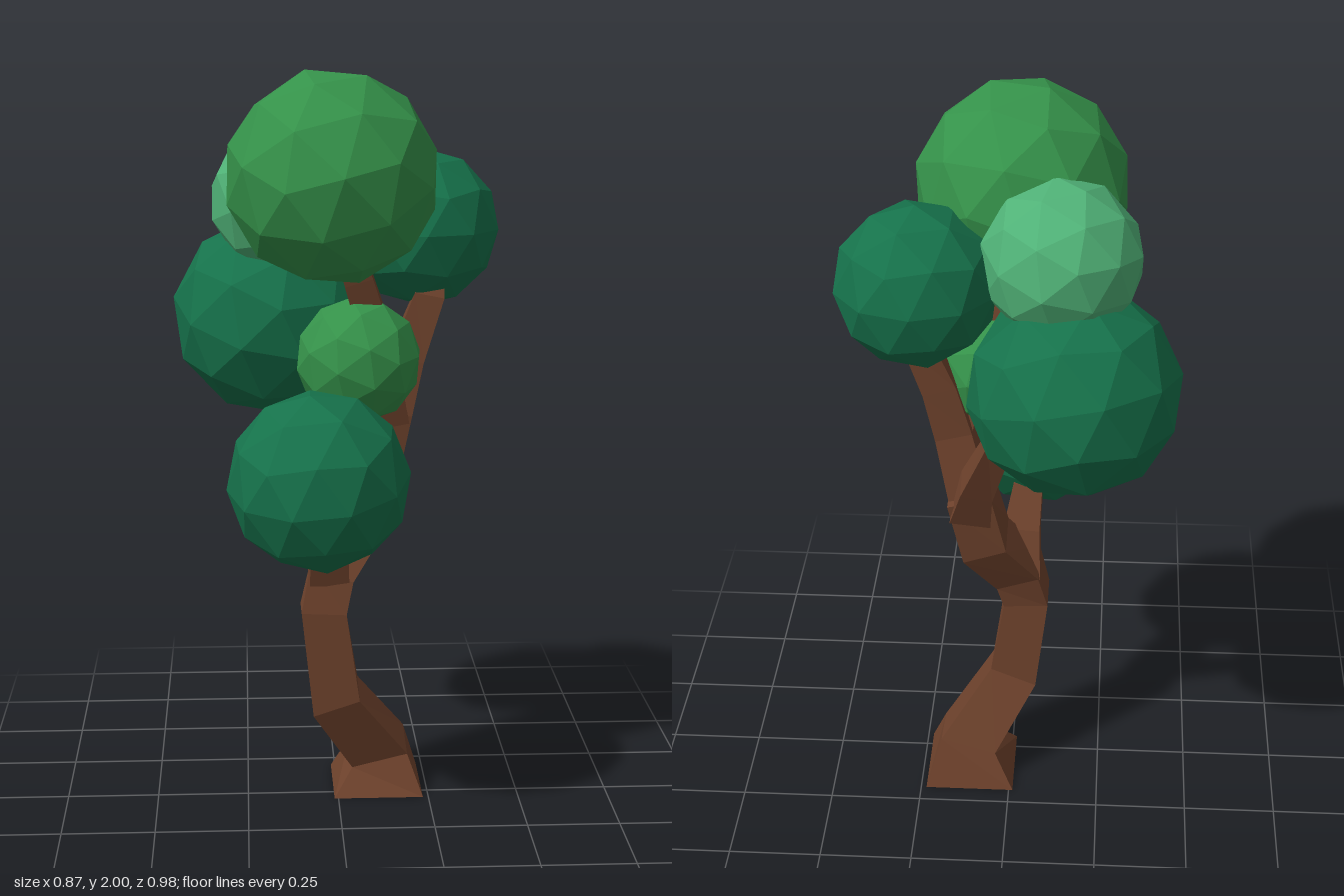
import * as THREE from 'three';

const bark = new THREE.MeshStandardMaterial({ color: 0x6e422c, flatShading: true });
const leaf = (color) => new THREE.MeshStandardMaterial({ color, flatShading: true });
const darkGreen = leaf(0x16724b), midGreen = leaf(0x35924a), lightGreen = leaf(0x50b277);

// Square-section limb swept along stations [x, y, z, half width]
function limb(name, stations) {
  const pts = stations.map(([x, y, z]) => new THREE.Vector3(x, y, z));
  const pos = [], index = [];
  const last = pts.length - 1;
  pts.forEach((p, i) => {
    const t = new THREE.Vector3();
    if (i > 0) t.add(p.clone().sub(pts[i - 1]).normalize());
    if (i < last) t.add(pts[i + 1].clone().sub(p).normalize());
    if (p.y === 0) t.set(0, 1, 0); // flat on the ground
    t.normalize();
    const right = new THREE.Vector3(1, 0, 0).addScaledVector(t, -t.x).normalize();
    const front = right.clone().cross(t);
    for (const [a, b] of [[-1, -1], [1, -1], [1, 1], [-1, 1]]) {
      const h = stations[i][3];
      pos.push(...p.clone().addScaledVector(right, a * h).addScaledVector(front, b * h).toArray());
    }
    if (i < last) {
      for (let k = 0; k < 4; k++) {
        const a = i * 4 + k, b = i * 4 + (k + 1) % 4;
        index.push(a, a + 4, b + 4, a, b + 4, b);
      }
    }
  });
  const e = last * 4;
  index.push(0, 1, 2, 0, 2, 3, e, e + 2, e + 1, e, e + 3, e + 2);
  let geo = new THREE.BufferGeometry();
  geo.setAttribute('position', new THREE.Float32BufferAttribute(pos, 3));
  geo.setIndex(index);
  geo = geo.toNonIndexed();
  geo.computeVertexNormals();
  const mesh = new THREE.Mesh(geo, bark);
  mesh.name = name;
  return mesh;
}

// Faceted ball of leaves, a vertex at its pole before it is turned
function foliage(name, material, [x, y, z], radius, turn = [0, 0, 0]) {
  const geo = new THREE.IcosahedronGeometry(radius, 1);
  geo.rotateZ(Math.PI / 2 - Math.atan((1 + Math.sqrt(5)) / 2));
  geo.rotateY(Math.PI);
  const mesh = new THREE.Mesh(geo, material);
  mesh.name = name;
  mesh.position.set(x, y, z);
  mesh.rotation.set(...turn);
  return mesh;
}

export function createModel() {
  const tree = new THREE.Group();
  tree.name = 'tree';

  // Trunk and its branches
  tree.add(
    limb('trunk', [
      [0.112, 0, -0.075, 0.123], [0.117, 0.105, -0.078, 0.079], [-0.006, 0.285, 0.003, 0.067],
      [-0.04, 0.54, 0.01, 0.061], [-0.018, 0.635, -0.005, 0.062], [0.068, 0.76, -0.065, 0.063],
      [0.107, 0.93, -0.085, 0.06],
    ]),
    limb('rightBranch', [
      [0.095, 0.86, -0.07, 0.058], [0.15, 1.09, -0.04, 0.05],
      [0.185, 1.23, -0.045, 0.046], [0.245, 1.39, -0.055, 0.04], [0.25, 1.5, -0.1, 0.035],
    ]),
    limb('topBranch', [
      [0.15, 1.06, -0.03, 0.042], [0.1, 1.3, 0.03, 0.042], [0.05, 1.46, 0.068, 0.038], [0.0, 1.62, 0.1, 0.03],
    ]),
    limb('frontBranch', [
      [-0.025, 0.6, -0.005, 0.055], [-0.025, 0.74, 0.04, 0.05], [-0.04, 0.84, 0.09, 0.04], [-0.055, 0.95, 0.2, 0.035],
    ]),
    limb('backBranch', [
      [0.105, 0.88, -0.095, 0.055], [0.085, 0.98, -0.145, 0.043], [0.02, 1.16, -0.222, 0.033], [-0.06, 1.25, -0.23, 0.03],
    ]),
  );

  // Leaf crowns
  tree.add(
    foliage('topFoliage', midGreen, [-0.02, 1.727, 0.111], 0.279, [0.4, 0.5, 0.2]),
    foliage('backFoliage', darkGreen, [-0.168, 1.318, -0.223], 0.277, [0.5, 0.9, -0.3]),
    foliage('rightFoliage', darkGreen, [0.231, 1.566, -0.145], 0.212),
    foliage('frontFoliage', darkGreen, [-0.061, 0.965, 0.26], 0.238, [0.15, 0.31, 0.1]),
    foliage('smallFoliage', midGreen, [0.052, 1.242, 0.058], 0.167, [0.3, 0.2, -0.4]),
    foliage('lightFoliage', lightGreen, [-0.131, 1.642, -0.145], 0.208, [-0.3, 0.4, 0.3]),
  );
  return tree;
}
